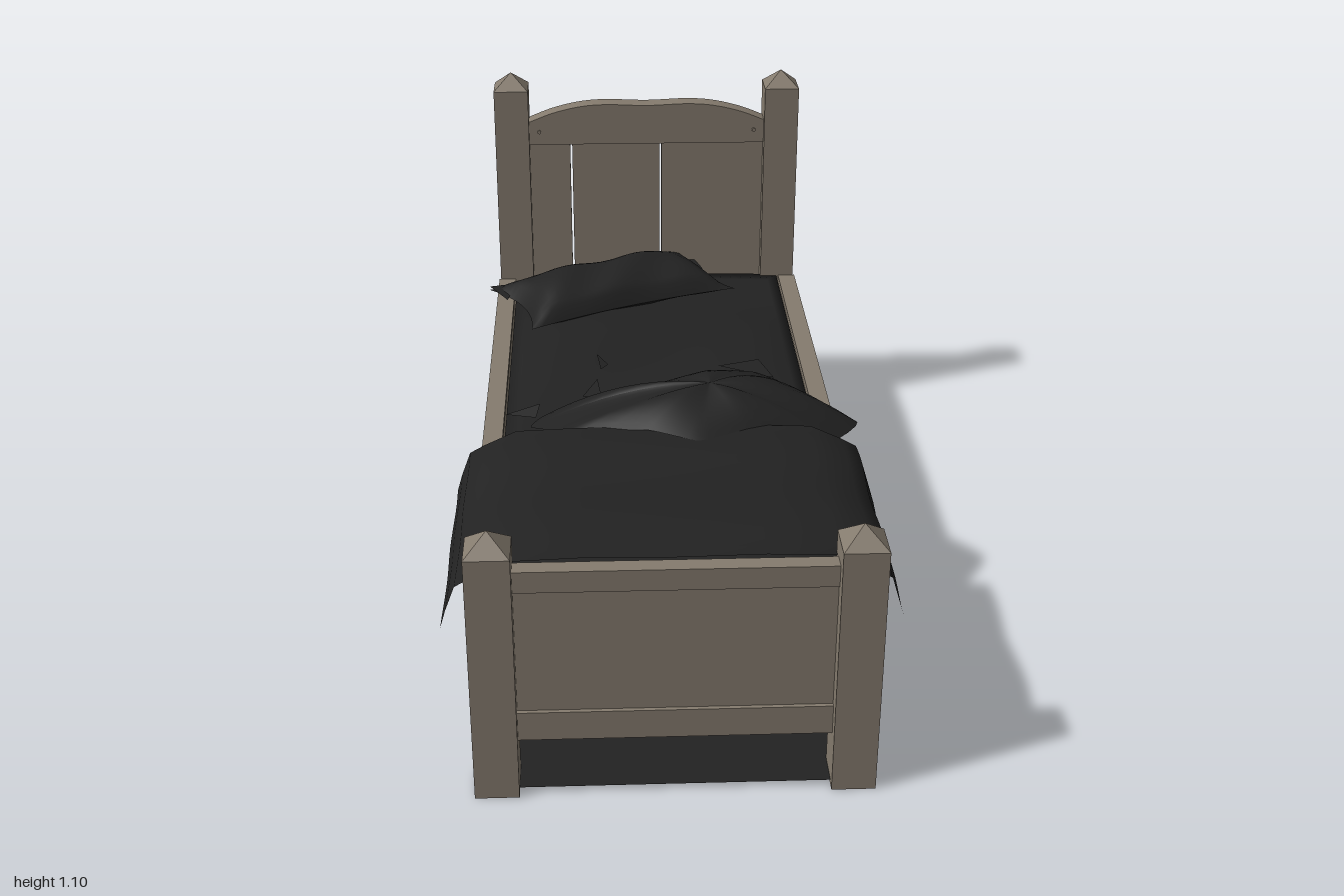
import * as THREE from 'three';

export function createModel() {
  const bed = new THREE.Group();
  bed.name = 'bed';
  const wood = new THREE.MeshStandardMaterial({ color: 0x857b6e, flatShading: true });
  wood.name = 'weathered wood';
  const cloth = new THREE.MeshStandardMaterial({ color: 0x222222, side: THREE.DoubleSide });
  cloth.name = 'dark cloth';

  const add = (name, geo, mat, x = 0, y = 0, z = 0) => {
    const m = new THREE.Mesh(geo, mat);
    m.name = name;
    m.position.set(x, y, z);
    bed.add(m);
    return m;
  };
  // Box given by its limits on each axis
  const box = (name, x0, x1, y0, y1, z0, z1) =>
    add(name, new THREE.BoxGeometry(x1 - x0, y1 - y0, z1 - z0), wood,
      (x0 + x1) / 2, (y0 + y1) / 2, (z0 + z1) / 2);

  // Cloth surface: f(u, v) returns [x, y, z] for u, v in 0..1
  const sheet = (name, nu, nv, f) => {
    const pos = [], idx = [];
    for (let j = 0; j <= nv; j++)
      for (let i = 0; i <= nu; i++) pos.push(...f(i / nu, j / nv));
    for (let j = 0; j < nv; j++)
      for (let i = 0; i < nu; i++) {
        const a = j * (nu + 1) + i, b = a + nu + 1;
        idx.push(a, b, a + 1, b, b + 1, a + 1);
      }
    const g = new THREE.BufferGeometry();
    g.setAttribute('position', new THREE.Float32BufferAttribute(pos, 3));
    g.setIndex(idx);
    g.computeVertexNormals();
    return add(name, g, cloth);
  };
  // Piecewise linear lookup in [[key, value], ...]
  const lerp = (table, t) => {
    let k = 1;
    while (k < table.length - 1 && t > table[k][0]) k++;
    const [a, b] = [table[k - 1], table[k]];
    return THREE.MathUtils.mapLinear(THREE.MathUtils.clamp(t, a[0], b[0]), a[0], b[0], a[1], b[1]);
  };

  // Posts with pyramid caps and pegs
  for (const s of [-1, 1]) {
    for (const [end, z, h] of [['foot', 0.95, 0.62], ['head', -0.95, 1.05]]) {
      box(end + 'Post', s * 0.4 - 0.05, s * 0.4 + 0.05, 0, h, z - 0.05, z + 0.05);
      const cap = new THREE.ConeGeometry(0.05 * Math.SQRT2, 0.045, 4).rotateY(Math.PI / 4);
      add(end + 'PostCap', cap, wood, s * 0.4, h + 0.0225, z);
      for (const y of [0.2, 0.36])
        add('postPeg', new THREE.CylinderGeometry(0.006, 0.006, 0.01, 6).rotateZ(Math.PI / 2),
          wood, s * 0.449, y, z);
    }
    // Side rail with its cap strip
    box('sideRail', s * 0.43 - 0.018, s * 0.43 + 0.018, 0.135, 0.436, -0.9, 0.9);
    box('sideRailCap', s * 0.43 - 0.025, s * 0.43 + 0.025, 0.436, 0.456, -0.9, 0.9);
    add('headboardPeg', new THREE.CylinderGeometry(0.006, 0.006, 0.006, 6).rotateX(Math.PI / 2),
      wood, s * 0.32, 0.92, -0.919);
  }

  // Footboard: recessed panel between two rails
  box('footboardPanel', -0.35, 0.35, 0.2, 0.53, 0.94, 0.96);
  box('footboardTopRail', -0.35, 0.35, 0.52, 0.572, 0.93, 0.97);
  box('footboardBottomRail', -0.35, 0.35, 0.135, 0.208, 0.93, 0.97);

  // Headboard: three planks, bottom rail and arched top
  for (const [a, b] of [[-0.35, -0.229], [-0.223, 0.039], [0.045, 0.35]])
    box('headboardPlank', a, b, 0.15, 0.89, -0.962, -0.938);
  box('headboardBottomRail', -0.35, 0.35, 0.135, 0.208, -0.978, -0.922);
  const arch = new THREE.Shape();
  arch.moveTo(-0.35, 0.88);
  arch.lineTo(0.35, 0.88);
  arch.lineTo(0.35, 0.95);
  arch.splineThru([[0.28, 0.977], [0.2, 0.996], [0.12, 1.002], [0, 0.998], [-0.12, 1.002],
    [-0.2, 0.996], [-0.28, 0.977], [-0.35, 0.95]].map(p => new THREE.Vector2(...p)));
  arch.closePath();
  add('headboardArch', new THREE.ExtrudeGeometry(arch, { depth: 0.056, bevelEnabled: false, curveSegments: 24 }),
    wood, 0, 0, -0.978);

  // Slats under the mattress
  for (let i = 0; i < 9; i++) {
    const z = -0.8 + i * 0.2;
    box('slat', -0.412, 0.412, 0.2, 0.225, z - 0.094, z + 0.094);
  }

  // Dark base sheet close to the floor
  add('floorSheet', new THREE.PlaneGeometry(0.88, 1.96).rotateX(-Math.PI / 2), cloth, 0, 0.012, 0);

  // Mattress: gently uneven top, edges turned down, one corner pulled away
  const along = [[-0.92, 0.456], [-0.7, 0.465], [-0.5, 0.488], [-0.2, 0.484], [0.05, 0.472], [0.3, 0.488], [0.92, 0.48]];
  sheet('mattress', 28, 40, (u, v) => {
    let x = THREE.MathUtils.clamp((u - 0.5) * 0.86, -0.4, 0.4);
    const z = THREE.MathUtils.clamp((v - 0.5) * 1.92, -0.92, 0.92);
    const skirt = u === 0 || u === 1 || v === 0 || v === 1;
    const edge = Math.pow(Math.abs(x) / 0.4, 4);
    const y = skirt ? 0.25 : THREE.MathUtils.lerp(lerp(along, z), 0.455, edge) + 0.004 * Math.sin(9 * x + 7 * z) * (1 - edge);
    x = Math.max(x, -1.21 - z);
    return [x, y, z];
  });

  // Pillow: plump cushion with pinched corners, turned on the mattress
  const pillow = new THREE.Group();
  pillow.name = 'pillow';
  for (const side of [1, -1]) {
    const half = sheet('pillowHalf', 20, 14, (u, v) => {
      const a = u * 2 - 1, b = v * 2 - 1;
      const plump = Math.pow((1 - a ** 4) * (1 - b * b), 0.6);
      const x = a * (0.29 + 0.04 * b * b);
      const z = b * (0.135 + 0.025 * a * a);
      return [x, side * plump * (side > 0 ? 0.082 : 0.03) + 0.006 * Math.sin(8 * a + 3 * b) * plump, side * z];
    });
    pillow.add(half);
  }
  pillow.position.set(-0.11, 0.488, -0.735);
  pillow.rotation.y = 0.43;
  bed.add(pillow);
  // Pillow corners: one reaches the rail, one pokes through the headboard
  const flap = (name, a, b, c) => {
    const g = new THREE.BufferGeometry().setFromPoints([a, b, c].map(p => new THREE.Vector3(...p)));
    g.computeVertexNormals();
    return add(name, g, cloth);
  };
  flap('pillowCorner', [-0.475, 0.5, -0.74], [-0.42, 0.49, -0.66], [-0.4, 0.5, -0.76]);
  flap('pillowCorner', [0.13, 0.5, -0.99], [0.04, 0.5, -0.92], [0.17, 0.49, -0.88]);

  // Blanket: folded over the foot end, hanging over both rails
  const drape = [[-0.51, 0.405], [-0.497, 0.45], [-0.475, 0.51], [-0.44, 0.53], [-0.36, 0.568], [-0.2, 0.574],
    [0, 0.571], [0.2, 0.574], [0.36, 0.568], [0.44, 0.53], [0.475, 0.51], [0.493, 0.45], [0.505, 0.41]];
  sheet('blanket', drape.length - 1, 16, (u, v) => {
    const [x, y] = drape[Math.round(u * (drape.length - 1))];
    const w = Math.sin(v * 11) * 0.004;
    return [x + w * Math.abs(x), y + w * (Math.abs(x) > 0.4 ? 1 : 0.4), 0.32 + 0.597 * v];
  });

  // Crumpled duvet: rumpled mound inside an irregular outline (x, edge y, z)
  const outline = [[-0.33, 0.51, 0.19], [-0.29, 0.51, 0.12], [-0.05, 0.505, 0], [0.12, 0.503, -0.04], [0.3, 0.503, -0.085],
    [0.38, 0.503, 0.02], [0.5, 0.5, 0.175], [0.42, 0.515, 0.3], [0.22, 0.57, 0.34], [0.08, 0.575, 0.4],
    [-0.04, 0.575, 0.34], [-0.24, 0.56, 0.31]];
  const rim = new THREE.CatmullRomCurve3(outline.map(p => new THREE.Vector3(...p)), true, 'catmullrom', 0.2);
  sheet('duvet', 48, 10, (u, t) => {
    const p = rim.getPoint(u % 1);
    const fold = 0.008 * Math.sin(u * Math.PI * 10) * t * (1 - t) * 4;
    const y = THREE.MathUtils.lerp(0.632, p.y, t * t) + fold;
    return [THREE.MathUtils.lerp(0.12, p.x, t), y, THREE.MathUtils.lerp(0.2, p.z, t)];
  });

  // Loose wrinkles beside the duvet
  flap('wrinkle', [0.17, 0.49, -0.19], [0.31, 0.51, -0.07], [0.28, 0.503, -0.2]);
  flap('wrinkle', [-0.16, 0.503, -0.25], [-0.15, 0.49, -0.18], [-0.13, 0.49, -0.21]);
  flap('wrinkle', [-0.2, 0.488, -0.02], [-0.15, 0.488, -0.02], [-0.16, 0.505, -0.09]);
  flap('wrinkle', [-0.4, 0.475, 0.05], [-0.32, 0.485, 0.09], [-0.31, 0.5, 0.04]);

  return bed;
}
